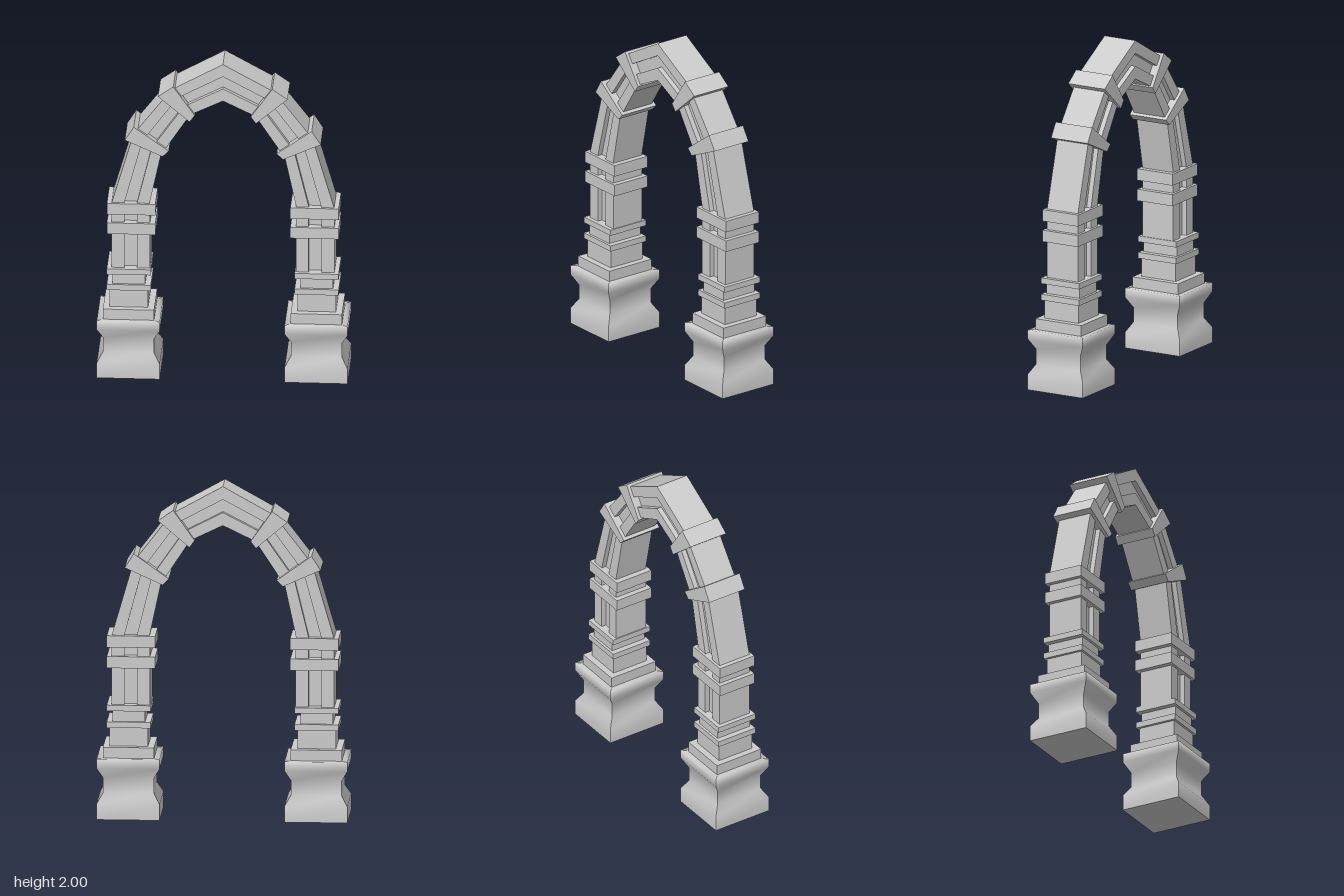
import * as THREE from 'three';
import { mergeGeometries } from 'three/addons/utils/BufferGeometryUtils.js';

const material = new THREE.MeshStandardMaterial({ color: 0xcccccc });
const DEPTH = 0.106;        // half depth of shaft and arch
const GROOVE = 0.076;       // half depth inside the front and back grooves
const COLLAR_DEPTH = 0.126; // half depth of the arch collars

function add(parent, name, geometry) {
  const mesh = new THREE.Mesh(geometry, material);
  mesh.name = name;
  parent.add(mesh);
  return mesh;
}

// Box given by its centre x, bottom, top and half sizes
function block(parent, name, x, y0, y1, hx, hz) {
  add(parent, name, new THREE.BoxGeometry(hx * 2, y1 - y0, hz * 2)).position.set(x, (y0 + y1) / 2, 0);
}

// Grooved beam swept through sections [innerX, innerY, outerX, outerY]
function groovedBeam(sections) {
  const half = [[1, DEPTH], [1, -DEPTH], [2 / 3, -DEPTH], [2 / 3, -GROOVE], [1 / 3, -GROOVE], [1 / 3, -DEPTH]];
  const loop = [...half, ...half.map(([u, z]) => [1 - u, -z])];
  // second half turns back along the front face
  loop.splice(6, 6, [0, -DEPTH], [0, DEPTH], [1 / 3, DEPTH], [1 / 3, GROOVE], [2 / 3, GROOVE], [2 / 3, DEPTH]);
  const rings = sections.map(([ix, iy, ox, oy]) =>
    loop.map(([u, z]) => [ix + (ox - ix) * u, iy + (oy - iy) * u, z]));
  const positions = [];
  for (let i = 0; i < rings.length - 1; i++) {
    for (let j = 0; j < loop.length; j++) {
      const k = (j + 1) % loop.length;
      const a = rings[i][j], b = rings[i][k], c = rings[i + 1][k], d = rings[i + 1][j];
      positions.push(...a, ...b, ...c, ...a, ...c, ...d);
    }
  }
  const geometry = new THREE.BufferGeometry();
  geometry.setAttribute('position', new THREE.Float32BufferAttribute(positions, 3));
  geometry.computeVertexNormals();
  return geometry;
}

// Wedge-shaped collar from four corners in the front plane
function wedge(corners) {
  const shape = new THREE.Shape(corners.map(([x, y]) => new THREE.Vector2(x, y)));
  return new THREE.ExtrudeGeometry(shape, { depth: COLLAR_DEPTH * 2, bevelEnabled: false })
    .translate(0, 0, -COLLAR_DEPTH);
}

// Square waisted plinth: smooth up the profile, sharp at the four corners
function plinthGeometry() {
  const profile = [[0.14, 0.365], [0.186, 0.365], [0.186, 0.31], [0.15, 0.245],
    [0.15, 0.155], [0.186, 0.095], [0.186, 0]];
  const sides = [0, 1, 2, 3].map((k) => {
    const side = new THREE.PlaneGeometry(1, 1, 1, profile.length - 1);
    const p = side.attributes.position;
    for (let i = 0; i < p.count; i++) {
      const [r, y] = profile[Math.floor(i / 2)];
      p.setXYZ(i, Math.sign(p.getX(i)) * r, y, r);
    }
    side.rotateY(k * Math.PI / 2);
    side.scale(1, 1, 1.015);
    side.computeVertexNormals();
    return side;
  });
  const bottom = new THREE.PlaneGeometry(0.372, 0.378).rotateX(Math.PI / 2);
  return mergeGeometries([...sides, bottom]);
}

// One column with its half of the arch, on the +x side
function createHalf(name) {
  const half = new THREE.Group();
  half.name = name;

  // Foot of the column
  add(half, 'plinth', plinthGeometry()).position.x = 0.554;
  block(half, 'plinthStep', 0.554, 0.36, 0.43, 0.151, 0.157);
  block(half, 'lowerShaft', 0.554, 0.43, 0.545, 0.113, 0.117);
  block(half, 'lowerRing', 0.554, 0.542, 0.578, 0.13, 0.131);
  block(half, 'neck', 0.554, 0.578, 0.645, 0.096, 0.115);
  block(half, 'upperRing', 0.554, 0.643, 0.678, 0.13, 0.131);

  // Grooved shaft and its two collars
  add(half, 'shaft', groovedBeam([[0.43, 0.66, 0.657, 0.66], [0.43, 1.06, 0.657, 1.06]]));
  block(half, 'lowerCollar', 0.541, 0.9, 0.97, 0.143, 0.122);
  block(half, 'upperCollar', 0.541, 1.025, 1.095, 0.143, 0.122);

  // Leaning arch segments, running a little way into the collars
  add(half, 'lowerArch', groovedBeam([[0.44, 1.06, 0.666, 1.06], [0.361, 1.43, 0.533, 1.52]]));
  add(half, 'upperArch', groovedBeam([[0.346, 1.438, 0.518, 1.551], [0.199, 1.662, 0.334, 1.791]]));
  add(half, 'lowerArchCollar', wedge([[0.525, 1.592], [0.318, 1.443], [0.355, 1.406], [0.578, 1.507]]));
  add(half, 'upperArchCollar', wedge([[0.292, 1.857], [0.165, 1.676], [0.196, 1.634], [0.382, 1.793]]));
  return half;
}

export function createModel() {
  const model = new THREE.Group();
  model.name = 'archway';
  model.add(createHalf('leftHalf'));
  const right = createHalf('rightHalf');
  right.rotation.y = Math.PI;
  model.add(right);

  // Pointed crown joining both halves
  add(model, 'crown', groovedBeam([
    [0.19, 1.673, 0.302, 1.832], [0, 1.765, 0, 2], [-0.19, 1.673, -0.302, 1.832]]));
  return model;
}
